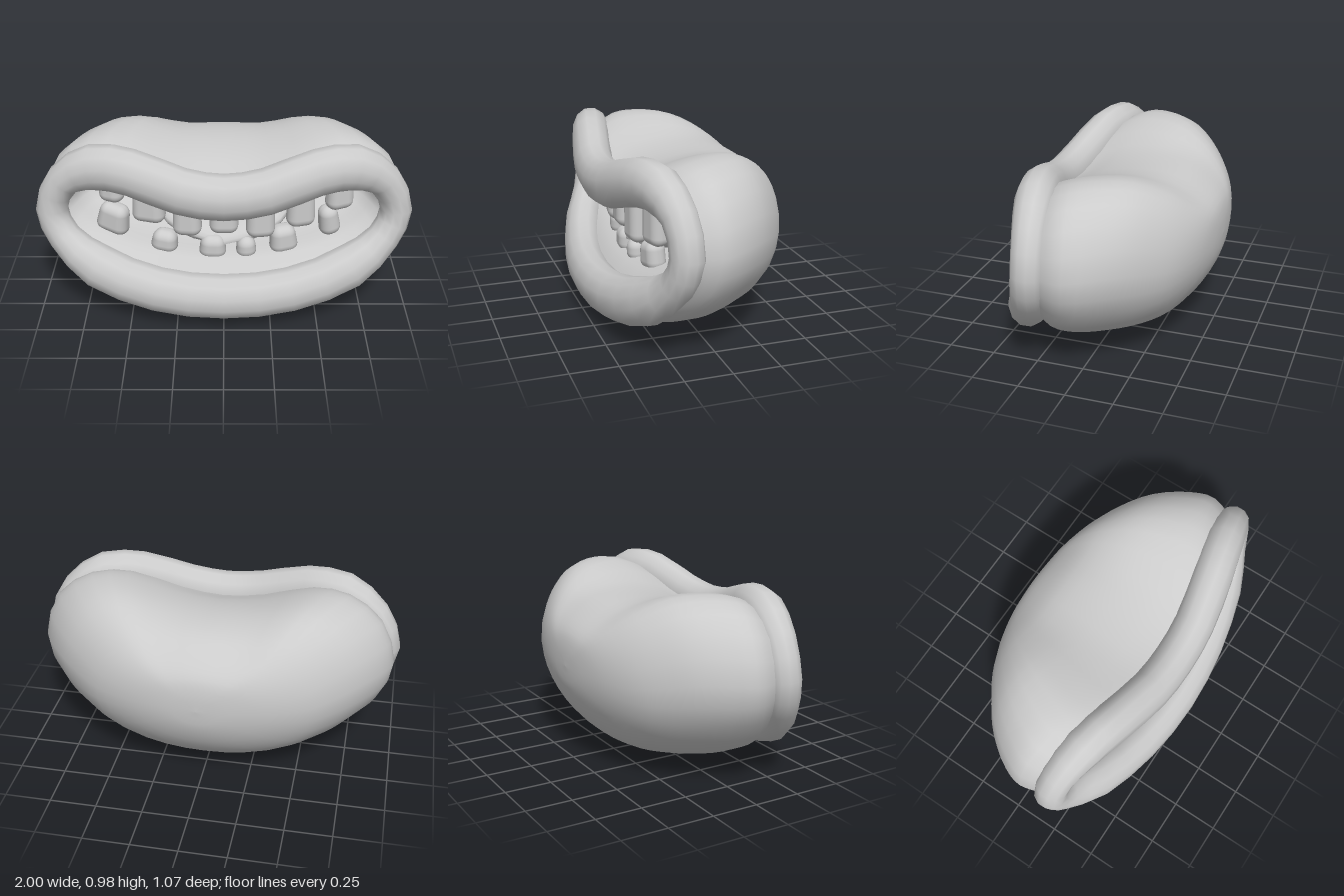
import * as THREE from 'three';
import { RoundedBoxGeometry } from 'three/addons/geometries/RoundedBoxGeometry.js';

const V = (x, y, z) => new THREE.Vector3(x, y, z);
const material = new THREE.MeshStandardMaterial({ color: 0xcccccc, side: THREE.DoubleSide });
const SEG = 36;

function addMesh(parent, name, geometry) {
  const mesh = new THREE.Mesh(geometry, material);
  mesh.name = name;
  parent.add(mesh);
  return mesh;
}

// Smooth surface through rings of points; every ring is closed
function loft(rings, closed) {
  const n = rings[0].length, m = rings.length, index = [];
  for (let i = 0; i < (closed ? m : m - 1); i++) {
    for (let j = 0; j < n; j++) {
      const a = i * n + j, b = i * n + (j + 1) % n;
      const c = ((i + 1) % m) * n + j, d = ((i + 1) % m) * n + (j + 1) % n;
      index.push(a, c, b, b, c, d);
    }
  }
  const geometry = new THREE.BufferGeometry().setFromPoints(rings.flat());
  geometry.setIndex(index);
  geometry.computeVertexNormals();
  return geometry;
}

// Centre line of the lips, mirrored from its left half
const half = [
  [0, 0.729, 0.372], [0.22, 0.758, 0.36], [0.48, 0.84, 0.308], [0.67, 0.845, 0.258],
  [0.84, 0.755, 0.22], [0.915, 0.58, 0.208], [0.855, 0.425, 0.24], [0.67, 0.285, 0.32],
  [0.35, 0.19, 0.4], [0, 0.165, 0.43],
].map((p) => V(...p));
const mirrored = half.slice(1, -1).reverse().map((p) => V(-p.x, p.y, p.z));
const lipPath = new THREE.CatmullRomCurve3([...half, ...mirrored], true);

// Lips: an oval swept along the path, thinner at the corners
function lipGeometry() {
  const rings = [];
  for (let i = 0; i < SEG; i++) {
    const p = lipPath.getPoint(i / SEG), t = lipPath.getTangent(i / SEG);
    const depth = V(0, 0, 1).addScaledVector(t, -t.z).normalize();
    const side = new THREE.Vector3().crossVectors(depth, t);
    const corner = THREE.MathUtils.smoothstep(Math.abs(p.x), 0.65, 0.9);
    const rSide = THREE.MathUtils.lerp(0.127, 0.086, corner);
    const rDepth = THREE.MathUtils.lerp(0.108, 0.088, corner);
    const ring = [];
    for (let j = 0; j < 12; j++) {
      const a = ((j + 0.5) / 12) * Math.PI * 2;
      ring.push(p.clone().addScaledVector(side, Math.cos(a) * rSide)
        .addScaledVector(depth, Math.sin(a) * rDepth));
    }
    rings.push(ring);
  }
  return loft(rings, true);
}

// Bowl behind the lips. Level: [top z, tilt, half width, centre y, half height, kidney amount]
function bowlGeometry(levels, pole, steps) {
  const curves = [];
  for (let i = 0; i < SEG; i++) {
    const p = lipPath.getPoint(i / SEG);
    const ux = p.x / 0.915, uy = (p.y - 0.51) / 0.345;
    const a = Math.atan2(uy, ux);
    const points = levels.map(([z, tilt, w, cy, h, k]) => V(
      w * THREE.MathUtils.lerp(Math.cos(a), ux, k),
      cy + h * THREE.MathUtils.lerp(Math.sin(a), uy, k),
      z + tilt * THREE.MathUtils.lerp(0.075 * (1 - Math.sin(a)), p.z - 0.28, k),
    ));
    curves.push(new THREE.CatmullRomCurve3([p, ...points, pole]));
  }
  const rings = [];
  for (let s = 0; s <= steps; s++) rings.push(curves.map((c) => c.getPoint(s / steps)));
  return loft(rings, false);
}

// Tooth: rounded block, narrower at its top by the taper
function addTooth(parent, name, [x, y0, y1, w], z, taper, tilt) {
  const h = y1 - y0;
  const geometry = new RoundedBoxGeometry(w, h, 0.11, 4, 0.05);
  const pos = geometry.attributes.position;
  for (let i = 0; i < pos.count; i++) {
    pos.setX(i, pos.getX(i) * (1 - taper * (pos.getY(i) / h) * 2));
  }
  const tooth = addMesh(parent, name, geometry);
  tooth.position.set(x, (y0 + y1) / 2, z);
  tooth.rotation.set(0, x * 0.7, tilt);
}

export function createModel() {
  const model = new THREE.Group();
  model.name = 'mouth';

  addMesh(model, 'lips', lipGeometry());

  // Rounded outer shell
  addMesh(model, 'outerShell', bowlGeometry([
    [0.14, 1.2, 0.972, 0.485, 0.45, 1],
    [0.0, 1.25, 0.945, 0.488, 0.488, 0.8],
    [-0.19, 1.35, 0.835, 0.488, 0.488, 0.6],
    [-0.35, 1.3, 0.705, 0.468, 0.44, 0.35],
    [-0.45, 0.95, 0.565, 0.455, 0.355, 0.22],
    [-0.512, 0.45, 0.375, 0.475, 0.235, 0.1],
    [-0.532, 0.08, 0.18, 0.505, 0.11, 0],
  ], V(0, 0.52, -0.536), 24));

  // Inner lining of the mouth
  addMesh(model, 'innerLining', bowlGeometry([
    [0.14, 1, 0.84, 0.525, 0.22, 1],
    [-0.02, 1, 0.76, 0.54, 0.2, 0.9],
    [-0.2, 0.8, 0.5, 0.545, 0.14, 0.5],
  ], V(0, 0.54, -0.28), 12));

  // Tongue with a shallow middle groove
  const tongueGeometry = new THREE.SphereGeometry(1, 24, 16).scale(0.36, 0.09, 0.25);
  const tp = tongueGeometry.attributes.position;
  for (let i = 0; i < tp.count; i++) {
    const x = tp.getX(i), y = tp.getY(i);
    tp.setY(i, y + 0.35 * x * x - (y > 0 ? 0.03 * Math.exp(-((x / 0.1) ** 2)) : 0));
  }
  tongueGeometry.computeVertexNormals();
  const tongue = addMesh(model, 'tongue', tongueGeometry);
  tongue.position.set(0, 0.435, 0);
  tongue.rotation.x = 0.12;

  // Teeth: [x, bottom, top, width]
  const upperTeeth = new THREE.Group();
  upperTeeth.name = 'upperTeeth';
  [[-0.6, 0.59, 0.74, 0.135], [-0.4, 0.5, 0.74, 0.175], [-0.195, 0.44, 0.69, 0.15],
    [0, 0.46, 0.67, 0.15], [0.195, 0.43, 0.69, 0.15], [0.41, 0.475, 0.74, 0.15],
    [0.62, 0.545, 0.745, 0.15]].forEach((t, i) =>
    addTooth(upperTeeth, `upperTooth${i + 1}`, t, 0.25 - 0.3 * t[0] * t[0], 0.05, 0));

  const lowerTeeth = new THREE.Group();
  lowerTeeth.name = 'lowerTeeth';
  [[-0.6, 0.385, 0.56, 0.175], [-0.32, 0.31, 0.44, 0.14], [-0.06, 0.29, 0.425, 0.14],
    [0.12, 0.29, 0.415, 0.105], [0.32, 0.31, 0.47, 0.145],
    [0.57, 0.38, 0.555, 0.11]].forEach((t, i) =>
    addTooth(lowerTeeth, `lowerTooth${i + 1}`, t, 0.22 - 0.3 * t[0] * t[0], 0.13, t[0] * 0.3));
  model.add(upperTeeth, lowerTeeth);

  return model;
}
